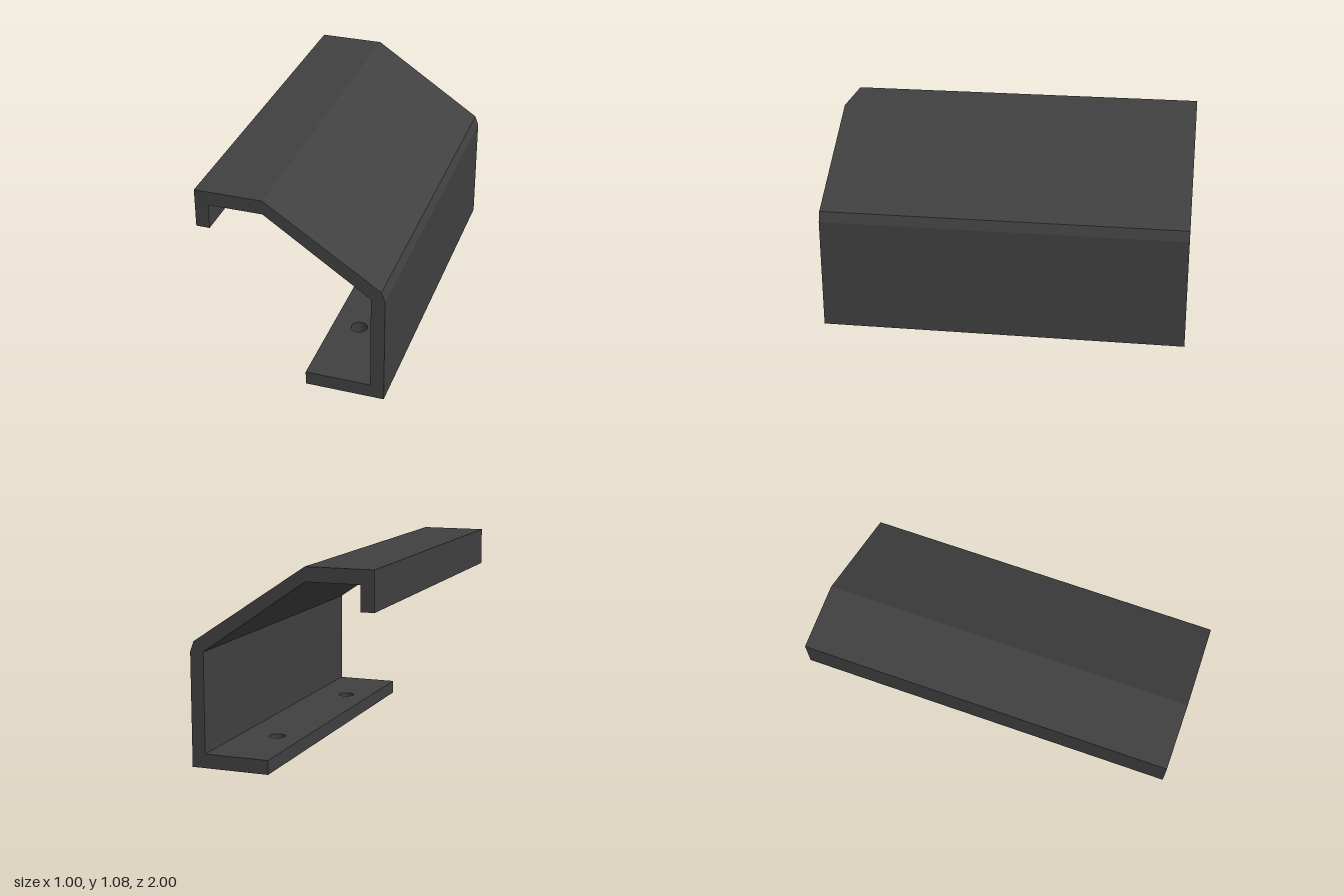
import * as THREE from 'three';
import { toCreasedNormals } from 'three/addons/utils/BufferGeometryUtils.js';

const LENGTH = 2;

export function createModel() {
  const model = new THREE.Group();
  model.name = 'bentBracket';
  const darkGrey = new THREE.MeshStandardMaterial({ color: 0x404040 });
  darkGrey.name = 'darkGrey';

  // Bent cover: hooked lip, flat top, sloping panel, chamfer and upright wall
  const profile = new THREE.Shape([
    [-0.5, 0.87], [-0.427, 0.87], [-0.427, 1.004], [-0.138, 1.004],
    [0.426, 0.614], [0.426, 0], [0.5, 0], [0.5, 0.612],
    [0.48, 0.667], [-0.137, 1.08], [-0.5, 1.08],
  ].map(([x, y]) => new THREE.Vector2(x, y)));
  const coverGeometry = new THREE.ExtrudeGeometry(profile, { depth: LENGTH, bevelEnabled: false });
  coverGeometry.translate(0, 0, -LENGTH / 2);
  const cover = new THREE.Mesh(coverGeometry, darkGrey);
  cover.name = 'bentCover';
  model.add(cover);

  // Mounting flange: drawn in plan with two screw holes, extruded upwards
  const plan = new THREE.Shape([
    new THREE.Vector2(0.072, -1), new THREE.Vector2(0.426, -1),
    new THREE.Vector2(0.426, 1), new THREE.Vector2(0.072, 1),
  ]);
  for (const z of [-0.535, 0.535]) {
    plan.holes.push(new THREE.Path().absarc(0.22, z, 0.045, 0, Math.PI * 2, true));
  }
  const flangeGeometry = new THREE.ExtrudeGeometry(plan, {
    depth: 0.076, bevelEnabled: false, curveSegments: 32,
  });
  flangeGeometry.rotateX(-Math.PI / 2);
  const flange = new THREE.Mesh(toCreasedNormals(flangeGeometry, 0.6), darkGrey);
  flange.name = 'mountingFlange';
  model.add(flange);

  return model;
}
